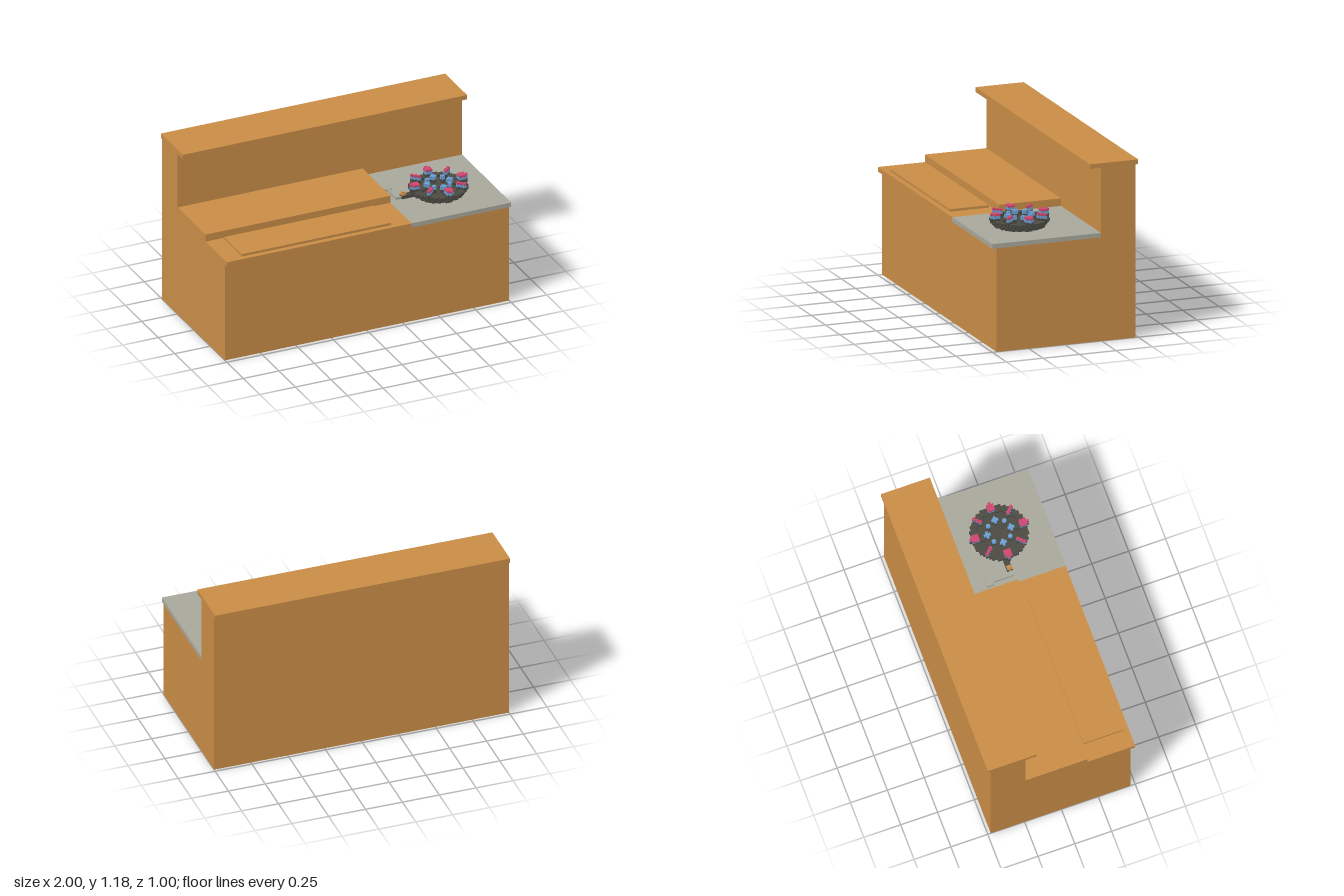
import * as THREE from 'three';
import { mergeGeometries } from 'three/addons/utils/BufferGeometryUtils.js';

const paint = (name, color) => {
  const m = new THREE.MeshStandardMaterial({ color });
  m.name = name;
  return m;
};

// Box from its minimum and maximum on each axis
const span = (x0, x1, y0, y1, z0, z1) =>
  new THREE.BoxGeometry(x1 - x0, y1 - y0, z1 - z0)
    .translate((x0 + x1) / 2, (y0 + y1) / 2, (z0 + z1) / 2);

const CELL = 0.0157; // block size of the stepped burner

// Stepped disc or ring made of rows of blocks
function steppedRing(outer, inner, y0, y1) {
  const rows = [];
  const half = (r, z) => (r > Math.abs(z) ? (Math.floor(Math.sqrt(r * r - z * z) / CELL) + 0.5) * CELL : 0);
  const n = Math.floor(outer / CELL);
  for (let i = -n; i <= n; i++) {
    const z = i * CELL, a = half(outer, z), b = half(inner, z);
    const z0 = z - CELL / 2, z1 = z + CELL / 2;
    if (b > 0) rows.push(span(-a, -b, y0, y1, z0, z1), span(b, a, y0, y1, z0, z1));
    else rows.push(span(-a, a, y0, y1, z0, z1));
  }
  return rows;
}

// Plus-shaped block around a centre
function plus(x, z, core, arm, y0, y1) {
  const t = CELL / 2;
  const parts = [
    span(x - arm, x + arm, y0, y1, z - t, z + t),
    span(x - t, x + t, y0, y1, z - arm, z + arm),
  ];
  if (core > t) parts.push(span(x - core, x + core, y0, y1, z - core, z + core));
  return parts;
}

export function createModel() {
  const wood = paint('wood', 0xc88c46);
  const stone = paint('stone', 0xa7a79b);
  const iron = paint('iron', 0x4b4a42);
  const blue = paint('flameBlue', 0x6c9fd2);
  const pink = paint('flamePink', 0xd0466e);

  const model = new THREE.Group();
  const add = (name, geo, mat, parent = model) => {
    const mesh = new THREE.Mesh(Array.isArray(geo) ? mergeGeometries(geo) : geo, mat);
    mesh.name = name;
    parent.add(mesh);
  };

  // Cabinet with the raised back, extruded along x from its side profile
  const side = new THREE.Shape([[0.48, 0], [0.48, 1.145], [0.245, 1.145], [0.245, 0.685], [-0.47, 0.685], [-0.47, 0]]
    .map(([x, y]) => new THREE.Vector2(x, y)));
  const cabinet = new THREE.ExtrudeGeometry(side, { depth: 2, bevelEnabled: false });
  cabinet.translate(0, 0, -1).rotateY(Math.PI / 2);
  add('cabinet', cabinet, wood);
  add('backShelf', span(-1, 1, 1.145, 1.176, -0.5, -0.168), wood);

  // Worktop
  add('woodWorktop', span(-1, 0.3, 0.685, 0.715, -0.245, 0.5), wood);
  add('stoneWorktop', span(0.3, 1, 0.685, 0.715, -0.245, 0.5), stone);
  add('raisedBoard', span(-1, 0.3, 0.715, 0.765, -0.245, 0.178), wood);
  add('frontPanel', span(-0.878, 0.17, 0.715, 0.731, 0.197, 0.465), wood);

  // Burner bowl, widening upward in steps
  const burner = new THREE.Group();
  burner.name = 'burner';
  burner.position.set(0.64, 0, 0.172);
  model.add(burner);
  add('burnerBowl', [
    ...steppedRing(0.16, 0, 0.715, 0.733),
    ...steppedRing(0.174, 0, 0.733, 0.749),
    ...steppedRing(0.189, 0.142, 0.749, 0.765),
    ...plus(0, 0, 0, CELL / 2, 0.749, 0.757),
  ], iron, burner);

  // Jets: large at the four sides, stepped on the diagonals, small ones inside
  const feet = [], blues = [], pinks = [];
  const stack = (make, withPink, foot) => {
    feet.push(...make(foot, withPink ? 0.779 : 0.773));
    blues.push(...make(withPink ? 0.779 : 0.773, 0.798));
    if (withPink) pinks.push(...make(0.798, 0.811));
  };
  for (let i = 0; i < 4; i++) {
    const a = i * Math.PI / 2, cx = Math.round(Math.cos(a)), cz = Math.round(Math.sin(a));
    const dx = i % 3 ? -1 : 1, dz = i < 2 ? 1 : -1;
    stack((y0, y1) => {
      const x = cx * 0.162, z = cz * 0.162, tx = cx * 0.192, tz = cz * 0.192, t = CELL / 2;
      return [
        span(x - 0.0235, x + 0.0235, y0, y1, z - 0.0235, z + 0.0235),
        span(tx - t, tx + t, y0, y1, tz - t, tz + t),
      ];
    }, true, 0.749);
    stack((y0, y1) => [6, 7, 8].map((k) => {
      const x = dx * k * CELL, z = dz * k * CELL, t = CELL * 0.62;
      return span(x - t, x + t, y0, y1, z - t, z + t);
    }), true, 0.749);
    stack((y0, y1) => plus(cx * 0.08, cz * 0.08, 0.011, 0.022, y0, y1), false, 0.749);
    stack((y0, y1) => plus(dx * 0.055, dz * 0.055, 0, 0.013, y0, y1), false, 0.749);
    // Low ribs linking inner and outer jets
    feet.push(span(cx * 0.12 - 0.02, cx * 0.12 + 0.02, 0.749, 0.765, cz * 0.12 - 0.02, cz * 0.12 + 0.02));
  }
  add('jetFeet', feet, iron, burner);
  add('jetBodies', blues, blue, burner);
  add('jetTips', pinks, pink, burner);

  // Supply pipe with its wall socket and valve
  add('burnerNeck', span(0.385, 0.5, 0.718, 0.74, 0.135, 0.172), iron);
  add('valve', [span(0.385, 0.415, 0.74, 0.752, 0.138, 0.17), span(0.392, 0.408, 0.752, 0.763, 0.146, 0.162)], wood);
  add('pipeSocket', span(0.331, 0.379, 0.715, 0.731, -0.022, 0.026), stone);
  add('supplyPipe', [
    span(0.347, 0.363, 0.717, 0.733, 0.026, 0.162),
    span(0.347, 0.387, 0.717, 0.733, 0.146, 0.162),
  ], stone);

  return model;
}
